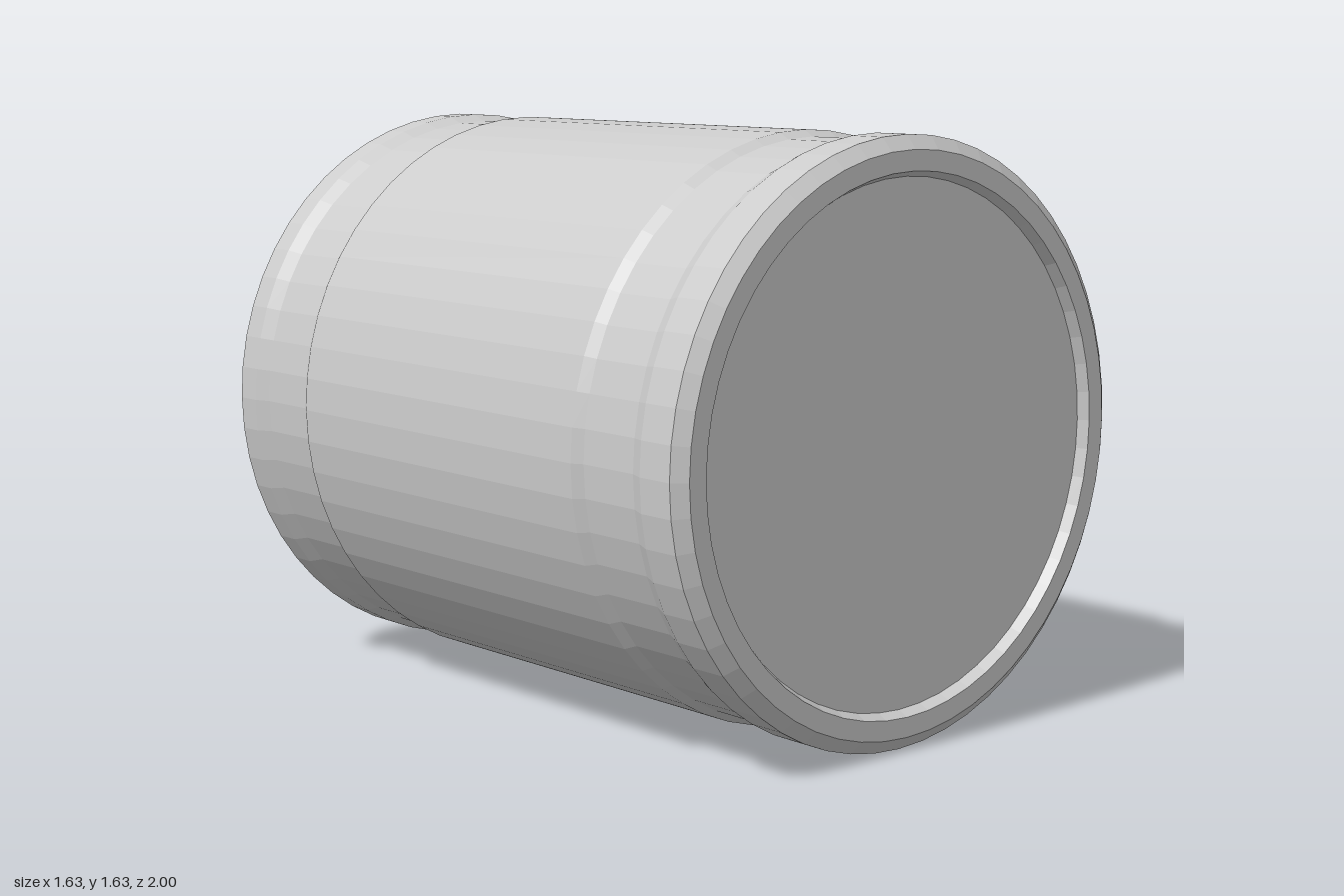
import * as THREE from 'three';

const RADIUS = 0.813;
const GROOVE = 0.795;
const SEGMENTS = 56;

// Turns a profile of [radius, z] points, listed back to front, around the z axis
function turned(name, profile, material) {
  const points = profile.map(([r, z]) => new THREE.Vector2(r, z));
  const geometry = new THREE.LatheGeometry(points, SEGMENTS);
  geometry.rotateX(Math.PI / 2);
  const mesh = new THREE.Mesh(geometry, material);
  mesh.name = name;
  return mesh;
}

export function createModel() {
  const model = new THREE.Group();
  model.name = 'canister';
  const material = new THREE.MeshStandardMaterial({ color: 0xcccccc, flatShading: true });

  // Solid base with a wide chamfer
  const base = turned('base', [[0, -1], [0.735, -1], [RADIUS, -0.935], [RADIUS, -0.86]], material);

  // Body with a shallow groove near each end
  const body = turned('body', [
    [RADIUS, -0.86], [GROOVE, -0.815], [GROOVE, -0.625], [RADIUS, -0.595],
    [RADIUS, 0.595], [GROOVE, 0.625], [GROOVE, 0.815], [RADIUS, 0.86],
  ], material);

  // Front rim with a small chamfer and a tapered inner lip
  const rim = turned('rim', [
    [RADIUS, 0.86], [RADIUS, 0.97], [0.775, 1], [0.72, 1], [0.705, 0.97],
  ], material);

  // Recessed front panel
  const panel = new THREE.Mesh(new THREE.CircleGeometry(0.705, SEGMENTS), material);
  panel.name = 'frontPanel';
  panel.position.z = 0.97;

  model.add(base, body, rim, panel);
  for (const part of model.children) part.position.y = RADIUS;
  return model;
}
